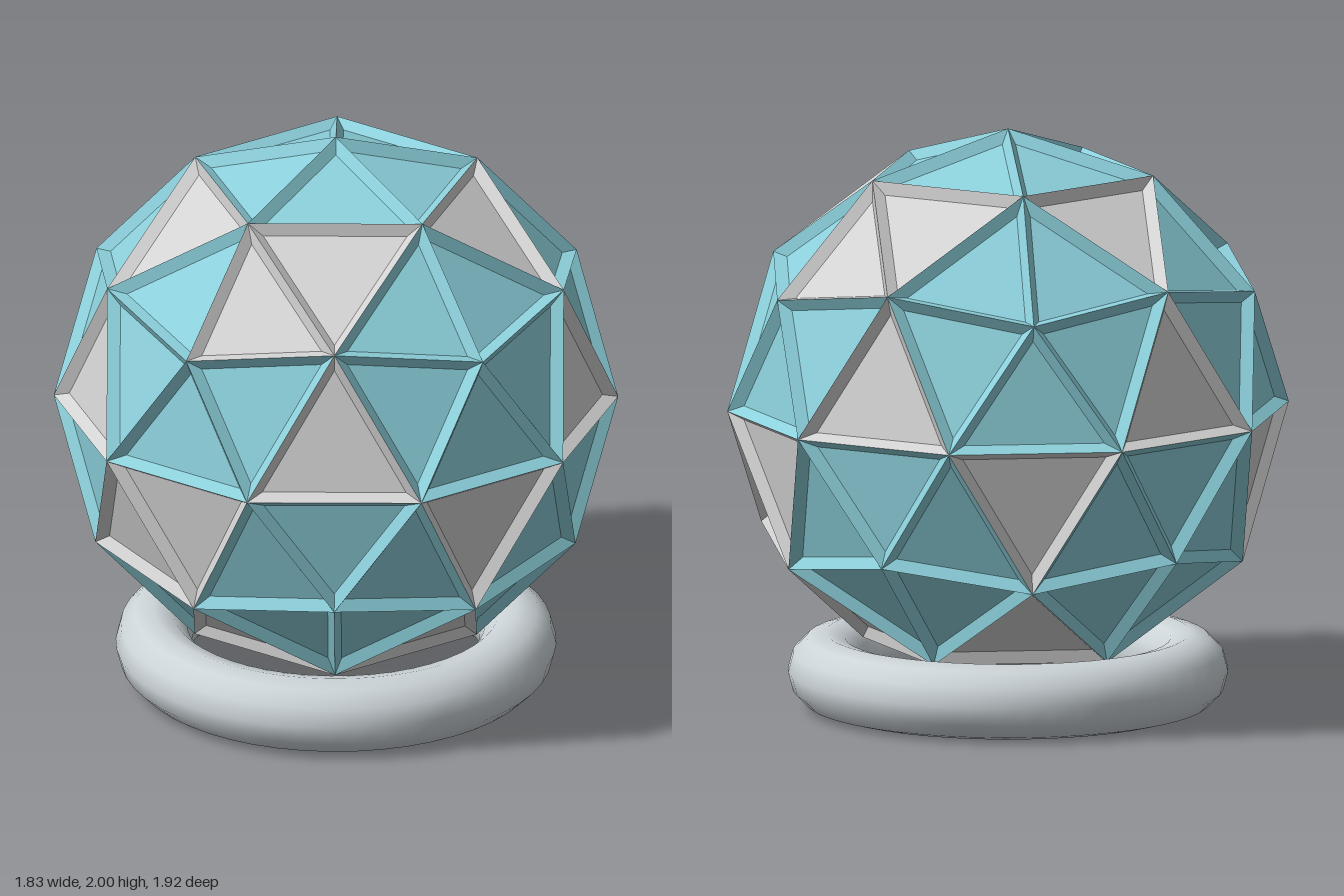
import * as THREE from 'three';

const RADIUS = 0.96, CENTER_Y = 1.04; // geodesic ball
const INSET = 0.03, DEPTH = 0.034;    // recessed panel in every facet

// Point on the ball from azimuth (0 = +x, 90 = +z) and polar angle, in degrees
function onBall(azimuth, polar) {
  const a = THREE.MathUtils.degToRad(azimuth), p = THREE.MathUtils.degToRad(polar);
  return new THREE.Vector3(Math.sin(p) * Math.cos(a), Math.cos(p), Math.sin(p) * Math.sin(a)).multiplyScalar(RADIUS);
}

const midpoint = (a, b) => a.clone().add(b).setLength(RADIUS);

// One facet: a triangular frame sloping in to a sunken flat panel
function addFacet(out, a, b, c) {
  const normal = b.clone().sub(a).cross(c.clone().sub(a)).normalize();
  if (normal.dot(a) < 0) {
    [b, c] = [c, b];
    normal.negate();
  }
  const la = b.distanceTo(c), lb = c.distanceTo(a), lc = a.distanceTo(b);
  const perimeter = la + lb + lc;
  const incenter = new THREE.Vector3()
    .addScaledVector(a, la / perimeter)
    .addScaledVector(b, lb / perimeter)
    .addScaledVector(c, lc / perimeter);
  const area = b.clone().sub(a).cross(c.clone().sub(a)).length() / 2;
  const t = INSET / (2 * area / perimeter);
  const outer = [a, b, c];
  const inner = outer.map((p) => p.clone().lerp(incenter, t).addScaledVector(normal, -DEPTH));
  const push = (...points) => points.forEach((p) => out.push(p.x, p.y, p.z));
  push(...inner);
  for (let i = 0; i < 3; i++) {
    const j = (i + 1) % 3;
    push(outer[i], outer[j], inner[j]);
    push(outer[i], inner[j], inner[i]);
  }
}

function facetMesh(name, positions, material) {
  const geometry = new THREE.BufferGeometry();
  geometry.setAttribute('position', new THREE.Float32BufferAttribute(positions, 3));
  geometry.computeVertexNormals();
  const mesh = new THREE.Mesh(geometry, material);
  mesh.name = name;
  return mesh;
}

export function createModel() {
  const teal = new THREE.MeshStandardMaterial({ name: 'teal', color: 0x8cd0db });
  const paleGrey = new THREE.MeshStandardMaterial({ name: 'paleGrey', color: 0xd3d3d3 });
  const ringGrey = new THREE.MeshStandardMaterial({ name: 'ringGrey', color: 0xccd4d8 });

  const model = new THREE.Group();
  model.name = 'geodesicBallOnRing';

  // Twenty large faces; greyCorner marks a corner facet that is grey as well
  const top = onBall(0, 0), bottom = onBall(0, 180);
  const polar = THREE.MathUtils.radToDeg(Math.atan(2));
  const upper = (k) => onBall(72 * k, polar);
  const lower = (k) => onBall(36 + 72 * k, 180 - polar);
  const faces = [];
  for (let k = 0; k < 5; k++) {
    faces.push({ corners: [top, upper(k), upper(k + 1)], greyCorner: k % 3 === 0 ? 2 : -1 });
    faces.push({ corners: [upper(k), upper(k + 1), lower(k)], greyCorner: -1 });
    faces.push({ corners: [upper(k), lower(k - 1), lower(k)], greyCorner: k % 3 === 1 ? 2 : -1 });
    faces.push({ corners: [bottom, lower(k), lower(k + 1)], greyCorner: k === 2 ? 0 : -1 });
  }

  // Split each face into a grey centre facet and three corner facets
  const tealFacets = [], greyFacets = [];
  for (const { corners, greyCorner } of faces) {
    const mids = corners.map((p, i) => midpoint(p, corners[(i + 1) % 3]));
    addFacet(greyFacets, ...mids);
    corners.forEach((p, i) => {
      addFacet(i === greyCorner ? greyFacets : tealFacets, p, mids[i], mids[(i + 2) % 3]);
    });
  }
  const ball = new THREE.Group();
  ball.name = 'ball';
  ball.position.y = CENTER_Y;
  ball.add(facetMesh('tealFacets', tealFacets, teal), facetMesh('greyFacets', greyFacets, paleGrey));
  model.add(ball);

  // Ring stand
  const ring = new THREE.Mesh(new THREE.TorusGeometry(0.62, 0.13, 12, 48), ringGrey);
  ring.name = 'ringStand';
  ring.rotation.x = Math.PI / 2;
  ring.position.y = 0.13;
  model.add(ring);

  return model;
}
